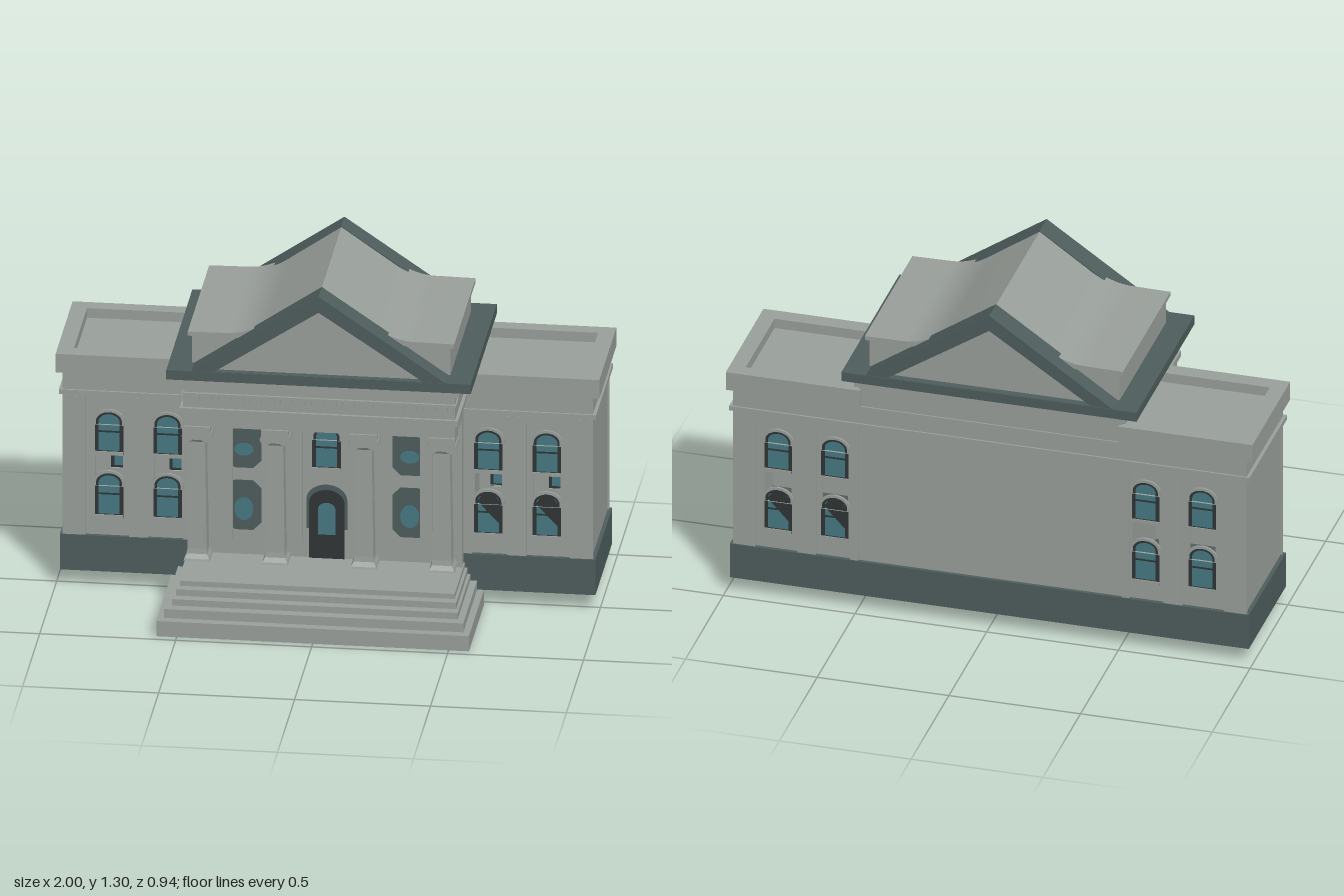
import * as THREE from 'three';
import { toCreasedNormals } from 'three/addons/utils/BufferGeometryUtils.js';

const mat = (name, color) => Object.assign(new THREE.MeshStandardMaterial({ color }), { name });

export function createModel() {
  const stone = mat('grey stone', 0x999f9a);
  const slate = mat('dark slate', 0x4e5d5d);
  const glass = mat('teal glass', 0x457882);
  const iron = mat('charcoal frame', 0x303434);
  const model = new THREE.Group();
  model.name = 'columnedHall';

  const add = (name, geo, material, parent = model) => {
    const mesh = new THREE.Mesh(geo, material);
    mesh.name = name;
    parent.add(mesh);
    return mesh;
  };
  // Box given by its limits on each axis
  const box = (name, x0, x1, y0, y1, z0, z1, material = stone, parent = model) => {
    const g = new THREE.BoxGeometry(x1 - x0, y1 - y0, z1 - z0);
    g.translate((x0 + x1) / 2, (y0 + y1) / 2, (z0 + z1) / 2);
    return add(name, g, material, parent);
  };
  const extrude = (shape, z0, z1) => {
    const g = new THREE.ExtrudeGeometry(shape, { depth: z1 - z0, bevelEnabled: false, curveSegments: 10 });
    return g.translate(0, 0, z0);
  };
  const polygon = (pts) => new THREE.Shape(pts.map(([x, y]) => new THREE.Vector2(x, y)));
  // Outline with a low arched top
  const arch = (Type, cx, w, y0, y1) => {
    const s = new Type(), spring = y1 - w * 0.4;
    s.moveTo(cx - w / 2, y0);
    s.lineTo(cx + w / 2, y0);
    s.lineTo(cx + w / 2, spring);
    s.absellipse(cx, spring, w / 2, y1 - spring, 0, Math.PI, false);
    s.closePath();
    return s;
  };
  const ellipse = (cx, cy, rx, ry) => new THREE.Shape().absellipse(cx, cy, rx, ry, 0, Math.PI * 2, false);

  // Arched window facing +z, on the plane z = 0 of its group
  const makeWindow = (w, y0, y1, shaded) => {
    const g = new THREE.Group();
    g.name = 'archedWindow';
    const rim = arch(THREE.Shape, 0, w, y0, y1);
    rim.holes.push(arch(THREE.Path, 0, w - 0.026, y0 + 0.013, y1 - 0.013));
    add('windowFrame', extrude(rim, -0.006, 0.006), iron, g);
    add('windowPane', extrude(arch(THREE.Shape, 0, w - 0.02, y0 + 0.01, y1 - 0.01), -0.004, 0.001), glass, g);
    box('windowSill', -w / 2, w / 2, y0 - 0.002, y0 + 0.012, -0.006, 0.01, stone, g);
    box('meetingRail', -w / 2 + 0.01, w / 2 - 0.01, (y0 + y1) / 2, (y0 + y1) / 2 + 0.006, 0, 0.004, iron, g);
    const hood = arch(THREE.Shape, 0, w + 0.012, y1 - 0.055, y1 + 0.006);
    hood.holes.push(arch(THREE.Path, 0, w - 0.008, y1 - 0.0545, y1 - 0.004));
    add('windowHood', extrude(hood, 0, 0.009), stone, g);
    if (shaded) {
      // Dark blind drawn diagonally across the pane
      const h = w / 2 - 0.012;
      const blind = polygon([[h, y0 + 0.05], [h, y1 - 0.045], [0.02, y1 - 0.014], [-0.02, y1 - 0.014], [-h, y1 - 0.045]]);
      add('windowBlind', extrude(blind, 0, 0.005), iron, g);
    }
    return g;
  };
  const placeWindow = (x, z, back, w, y0, y1, shaded = false) => {
    const win = makeWindow(w, y0, y1, shaded);
    win.position.set(x, 0, z);
    if (back) win.rotation.y = Math.PI;
    model.add(win);
  };

  // Plinth with a stone underside, and steps
  box('plinth', -0.985, 0.985, 0.06, 0.2, -0.465, 0.03, [slate, slate, slate, stone, slate, slate]);
  [[0.575, 0, 0.06, 0.47], [0.55, 0.06, 0.095, 0.437], [0.525, 0.095, 0.12, 0.4],
    [0.515, 0.12, 0.145, 0.365], [0.505, 0.145, 0.165, 0.33]].forEach(([x, y0, y1, z]) =>
    box('step', -x, x, y0, y1, 0.03, z));

  // Central block
  box('centralBlock', -0.5, 0.5, 0.165, 0.945, -0.452, 0.05);

  // Wings, hollow, with tall window bays
  const bays = [0.59, 0.805];
  for (const s of [-1, 1]) {
    const span = (name, a, b, ...rest) => box(name, Math.min(s * a, s * b), Math.max(s * a, s * b), ...rest);
    for (const back of [false, true]) {
      const a = Math.min(s * 0.5, s * 0.97), b = Math.max(s * 0.5, s * 0.97);
      const wall = polygon([[a, 0.2], [b, 0.2], [b, 0.76], [a, 0.76]]);
      bays.forEach((x) => wall.holes.push(arch(THREE.Path, s * x, 0.1, 0.275, 0.69)));
      const [z0, z1] = back ? [-0.45, -0.435] : [0, 0.015];
      add('wingWall', extrude(wall, z0, z1), stone);
      const [p0, p1] = back ? [-0.46, -0.445] : [0.01, 0.026];
      for (const [x0, x1] of [[0.5, 0.53], [0.66, 0.73], [0.89, 0.975]]) {
        span('wingPilaster', x0, x1, 0.2, 0.75, p0, p1);
      }
      for (const x of bays) {
        placeWindow(s * x, back ? -0.449 : 0.014, back, 0.104, 0.52, 0.692);
        placeWindow(s * x, back ? -0.449 : 0.014, back, 0.104, 0.27, 0.45, s > 0);
      }
    }
    span('wingEndWall', 0.955, 0.97, 0.2, 0.76, -0.44, 0.005);
    span('wingArchitrave', 0.5, 0.975, 0.73, 0.755, -0.46, 0.025);
    span('wingCornice', 0.48, 0.988, 0.755, 0.773, -0.465, 0.032);
    span('wingFrieze', 0.48, 0.975, 0.773, 0.842, -0.458, 0.024);
    // Parapet around a sunken flat roof
    span('wingRoof', 0.5, 0.95, 0.842, 0.875, -0.42, -0.02);
    span('parapetEnd', 0.94, 1, 0.84, 0.913, -0.467, 0.032);
    span('parapetFront', 0.49, 0.94, 0.84, 0.913, -0.03, 0.032);
    span('parapetBack', 0.49, 0.94, 0.84, 0.913, -0.467, -0.41);
    // Pilasters of the porch wall
    span('cornerPilaster', 0.44, 0.5, 0.165, 0.755, 0.03, 0.078);
    span('porchPilaster', 0.345, 0.39, 0.225, 0.755, 0.05, 0.066);
    span('porchPilaster', 0.09, 0.13, 0.225, 0.755, 0.05, 0.066);
  }
  box('backCornice', -0.5, 0.5, 0.755, 0.773, -0.465, -0.44);
  box('backFrieze', -0.5, 0.5, 0.773, 0.842, -0.458, -0.44);

  // Porch openings
  placeWindow(0, 0.056, false, 0.105, 0.515, 0.69);
  for (const x of [-0.305, 0.305]) {
    for (const [cy, gy, ry] of [[0.605, 0.58, 0.025], [0.36, 0.345, 0.045]]) {
      const w = 0.064, h = 0.098, c = 0.03;
      const blind = polygon([[-w, c - h], [c - w, -h], [w - c, -h], [w, c - h], [w, h - c], [w - c, h], [c - w, h], [-w, h - c]]
        .map(([px, py]) => [x + px, cy + py]));
      add('blindWindow', extrude(blind, 0.049, 0.052), slate);
      add('blindWindowPane', extrude(ellipse(x, gy, 0.035, ry), 0.051, 0.054), glass);
    }
  }
  add('doorSurround', extrude(arch(THREE.Shape, 0, 0.15, 0.28, 0.455), 0.045, 0.053), slate);
  add('doorway', extrude(arch(THREE.Shape, 0, 0.13, 0.165, 0.435), 0.05, 0.056), iron);
  add('doorPane', extrude(arch(THREE.Shape, 0, 0.064, 0.26, 0.385), 0.055, 0.059), glass);

  // Square tapered columns with scrolled capitals
  const shaft = new THREE.LatheGeometry([[0, 0.225], [0.048, 0.225], [0.046, 0.233], [0.037, 0.25],
    [0.035, 0.27], [0.029, 0.69], [0.035, 0.7], [0.035, 0.72], [0, 0.72]]
    .map(([x, y]) => new THREE.Vector2(x * Math.SQRT2, y)), 4, Math.PI / 4).toNonIndexed();
  shaft.computeVertexNormals();
  const scroll = new THREE.CylinderGeometry(0.022, 0.022, 0.09, 8).rotateX(Math.PI / 2);
  for (const x of [-0.45, -0.163, 0.163, 0.45]) {
    const column = new THREE.Group();
    column.name = 'column';
    add('shaft', shaft, stone, column);
    for (const s of [-1, 1]) add('scroll', scroll, stone, column).position.set(s * 0.034, 0.717, 0);
    box('capitalBlock', -0.04, 0.04, 0.71, 0.735, -0.044, 0.044, stone, column);
    box('abacus', -0.05, 0.05, 0.735, 0.757, -0.048, 0.048, stone, column);
    column.position.set(x, 0, 0.235);
    model.add(column);
  }

  // Porch entablature with dentils
  box('architrave', -0.5, 0.5, 0.755, 0.81, 0.04, 0.275);
  box('architraveBand', -0.512, 0.512, 0.81, 0.832, 0.03, 0.29);
  box('frieze', -0.5, 0.5, 0.832, 0.93, 0.04, 0.278);
  box('bedMould', -0.515, 0.515, 0.922, 0.946, -0.458, 0.285);
  const count = 44, dentil = new THREE.BoxGeometry(0.012, 0.022, 0.012);
  const dentils = new THREE.InstancedMesh(dentil, stone, count);
  dentils.name = 'dentils';
  for (let i = 0; i < count; i++) {
    dentils.setMatrixAt(i, new THREE.Matrix4().makeTranslation(-0.49 + 0.98 * i / (count - 1), 0.873, 0.28));
  }
  model.add(dentils);
  box('dentilBand', -0.505, 0.505, 0.884, 0.892, 0.03, 0.288);

  // Main cornice and gables
  box('mainCornice', -0.56, 0.56, 0.945, 0.982, -0.47, 0.297, slate);
  const gable = polygon([[-0.485, 0.97], [0.485, 0.97], [0, 1.3]]);
  gable.holes.push(new THREE.Path([[-0.385, 0.983], [0, 1.237], [0.385, 0.983]].map(([x, y]) => new THREE.Vector2(x, y))));
  const tympanum = polygon([[-0.4, 0.975], [0.4, 0.975], [0, 1.245]]);
  add('frontGable', extrude(gable, 0.2, 0.295), slate);
  add('backGable', extrude(gable, -0.467, -0.375), slate);
  add('frontTympanum', extrude(tympanum, 0.21, 0.27), stone);
  add('backTympanum', extrude(tympanum, -0.44, -0.385), stone);

  // Roof between the gables, sweeping out to a lip over attic walls
  const roof = polygon([[-0.49, 1.092], [0.49, 1.092], [0.49, 1.108], [0.34, 1.11]]);
  roof.quadraticCurveTo(0.26, 1.112, 0.18, 1.172);
  roof.lineTo(0, 1.297);
  roof.lineTo(-0.18, 1.172);
  roof.quadraticCurveTo(-0.26, 1.112, -0.34, 1.11);
  roof.lineTo(-0.49, 1.108);
  add('roof', toCreasedNormals(extrude(roof, -0.405, 0.225), 0.5), stone);
  box('attic', -0.475, 0.475, 0.975, 1.093, -0.395, 0.215);
  return model;
}
